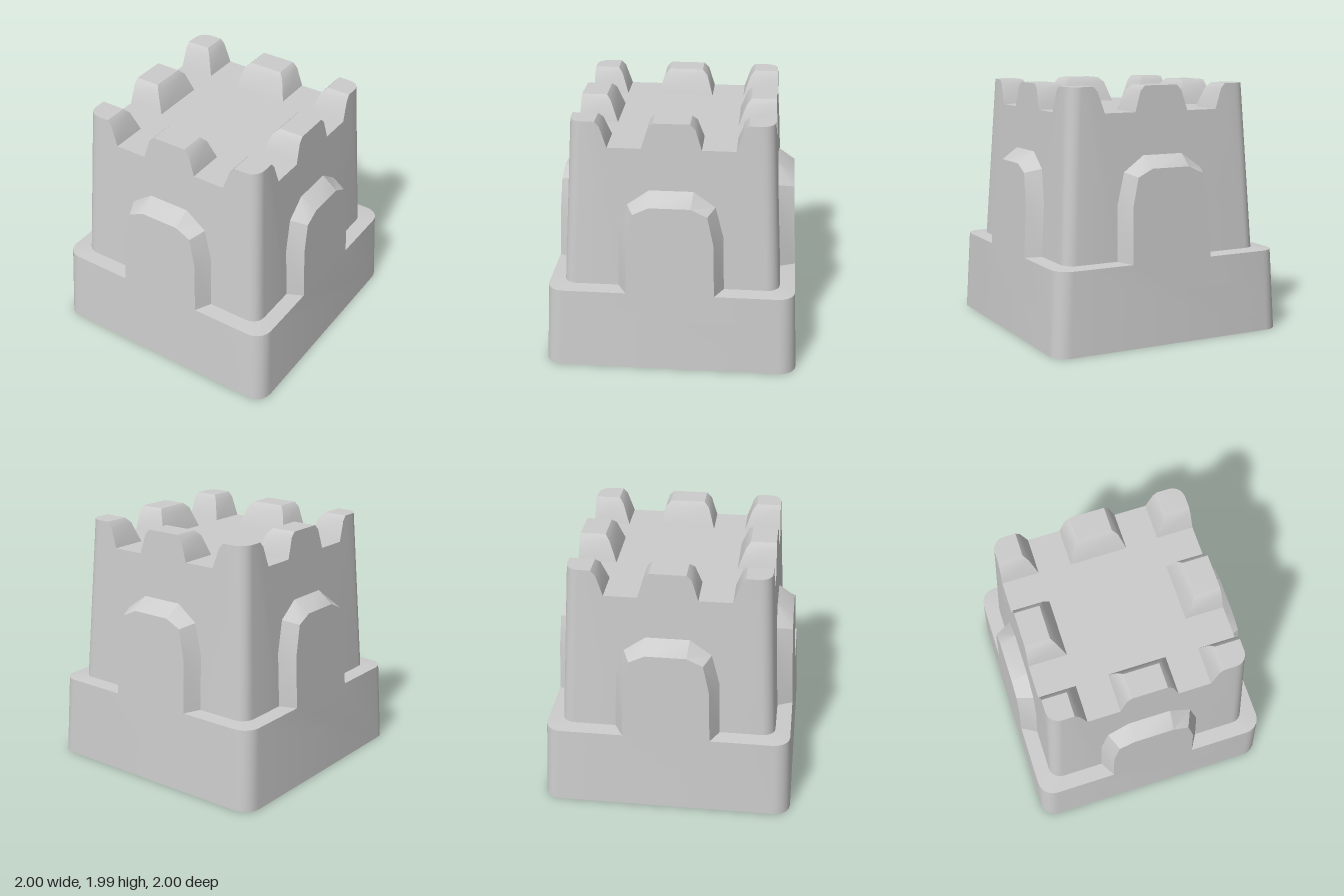
import * as THREE from 'three';
import { mergeGeometries, toCreasedNormals } from 'three/addons/utils/BufferGeometryUtils.js';

const FLOOR = 1.79, TOP = 1.99;
const BASE_R = 0.13, TOWER_R = 0.1;

// Half-widths of the tapering walls at height y
const baseHalf = y => 1 - 0.046 * y;
const towerHalf = y => 0.85 - (y - 0.66) * 0.056;

// Surface strip between rows of points, rows listed from bottom to top
function strip(rows) {
  const pos = [];
  for (let j = 0; j + 1 < rows.length; j++) {
    const lo = rows[j], up = rows[j + 1];
    for (let i = 0; i + 1 < lo.length; i++) {
      for (const p of [lo[i], lo[i + 1], up[i + 1], lo[i], up[i + 1], up[i]]) pos.push(...p);
    }
  }
  const g = new THREE.BufferGeometry();
  g.setAttribute('position', new THREE.Float32BufferAttribute(pos, 3));
  return g;
}

// Filled outline whose 2D points are placed in space by a rule
function panel(points, place) {
  const flat = new THREE.ShapeGeometry(new THREE.Shape(points.map(p => new THREE.Vector2(...p)))).toNonIndexed();
  const p = flat.attributes.position;
  const g = new THREE.BufferGeometry();
  const pos = [];
  for (let i = 0; i < p.count; i++) pos.push(...place(p.getX(i), p.getY(i)));
  g.setAttribute('position', new THREE.Float32BufferAttribute(pos, 3));
  return g;
}

// Quarter-round corner at (+x, +z), from the front face to the side face
function corner(y, half, r, n = 5) {
  return Array.from({ length: n + 1 }, (_, i) => {
    const a = Math.PI / 2 * (1 - i / n), c = half - r;
    return [c + r * Math.cos(a), y, c + r * Math.sin(a)];
  });
}

const mirrored = pts => [...pts.map(([x, y]) => [-x, y]), ...pts.slice().reverse()];

export function createModel() {
  const group = new THREE.Group();
  const material = new THREE.MeshStandardMaterial({ color: 0xcccccc, side: THREE.DoubleSide });

  const add = (name, geometry) => {
    const mesh = new THREE.Mesh(toCreasedNormals(geometry, 0.5), material);
    mesh.name = name;
    group.add(mesh);
  };
  // Repeat one side's pieces around all four sides
  const addFourSides = (name, pieces) => {
    const one = mergeGeometries(pieces);
    add(name, mergeGeometries([0, 1, 2, 3].map(k => one.clone().rotateY(k * Math.PI / 2))));
  };

  // Arch outlines, left foot over the top to right foot
  const archInner = mirrored([[0.345, 0.65], [0.335, 1.08], [0.285, 1.31], [0.16, 1.37]]);
  const archOuter = mirrored([[0.415, 0.66], [0.405, 1.09], [0.34, 1.34], [0.17, 1.46]]);

  // Base wall, its front plane running up into the arch panel
  const b0 = 1 - BASE_R, b1 = baseHalf(0.65) - BASE_R;
  addFourSides('baseWallsAndArchPanels', [
    panel([[-b0, 0], [-b1, 0.65], ...archInner, [b1, 0.65], [b0, 0]], (x, y) => [x, y, baseHalf(y)]),
    strip([corner(0, 1, BASE_R), corner(0.65, baseHalf(0.65), BASE_R)])
  ]);

  // Bevelled surround from arch panel back to the tower wall
  addFourSides('archSurrounds', [
    strip([archInner.map(([x, y]) => [x, y, baseHalf(y)]),
      archOuter.map(([x, y]) => [x, y, towerHalf(y)])])
  ]);

  // Ledge around the foot of the tower, broken by the arches
  const bz = baseHalf(0.65), tz = towerHalf(0.66), t0 = tz - TOWER_R;
  addFourSides('ledge', [
    strip([[[0.345, 0.65, bz], [b1, 0.65, bz]], [[0.415, 0.66, tz], [t0, 0.66, tz]]]),
    strip([[[-b1, 0.65, bz], [-0.345, 0.65, bz]], [[-t0, 0.66, tz], [-0.415, 0.66, tz]]]),
    strip([corner(0.65, bz, BASE_R), corner(0.66, tz, TOWER_R)])
  ]);

  // Battlement profile: height, middle half-width, middle inner face, corner inner face
  const levels = [
    [FLOOR, 0.23, 0.48, 0.49],
    [1.95, 0.18, 0.54, 0.545],
    [TOP, 0.14, 0.575, 0.58]
  ];
  const down = levels.slice().reverse();

  // Tower wall with arch opening and battlement skyline
  const t1 = towerHalf(TOP) - TOWER_R;
  const skyline = mirrored([
    [t0, 0.66], [t1, TOP],
    ...down.map(([y, , , c]) => [c, y]),
    ...levels.map(([y, m]) => [m, y])
  ]);
  addFourSides('towerWalls', [
    panel([...skyline, ...archOuter.slice().reverse()], (x, y) => [x, y, towerHalf(y)]),
    strip([corner(0.66, tz, TOWER_R), corner(TOP, towerHalf(TOP), TOWER_R)])
  ]);

  // Merlons: sloped inner sides and flat tops
  const [, mTop, zTop, cTop] = levels[2], hTop = towerHalf(TOP);
  const lid = (x, y) => [x, TOP, -y];
  addFourSides('middleMerlons', [
    strip(levels.map(([y, m, z]) => {
      const t = towerHalf(y);
      return [[m, y, t], [m, y, z], [-m, y, z], [-m, y, t]];
    })),
    panel([[-mTop, -hTop], [mTop, -hTop], [mTop, -zTop], [-mTop, -zTop]], lid)
  ]);
  addFourSides('cornerMerlons', [
    strip(levels.map(([y, , , c]) => {
      const t = towerHalf(y);
      return [[t, y, c], [c, y, c], [c, y, t]];
    })),
    panel([[cTop, -cTop], [cTop, -hTop],
      ...corner(TOP, hTop, TOWER_R).map(([x, , z]) => [x, -z]), [hTop, -cTop]], lid)
  ]);

  // Roof floor, reaching out through the gaps between merlons
  const [, m, z, c] = levels[0], t = towerHalf(FLOOR);
  const side = [[-c, t], [-m, t], [-m, z], [m, z], [m, t], [c, t], [c, c]];
  const outline = [];
  for (let k = 0; k < 4; k++) {
    const cs = Math.round(Math.cos(k * Math.PI / 2)), sn = Math.round(Math.sin(k * Math.PI / 2));
    for (const [x, y] of side) outline.push([x * cs + y * sn, y * cs - x * sn]);
  }
  add('roofFloor', panel(outline, (x, y) => [x, FLOOR, -y]));

  return group;
}
